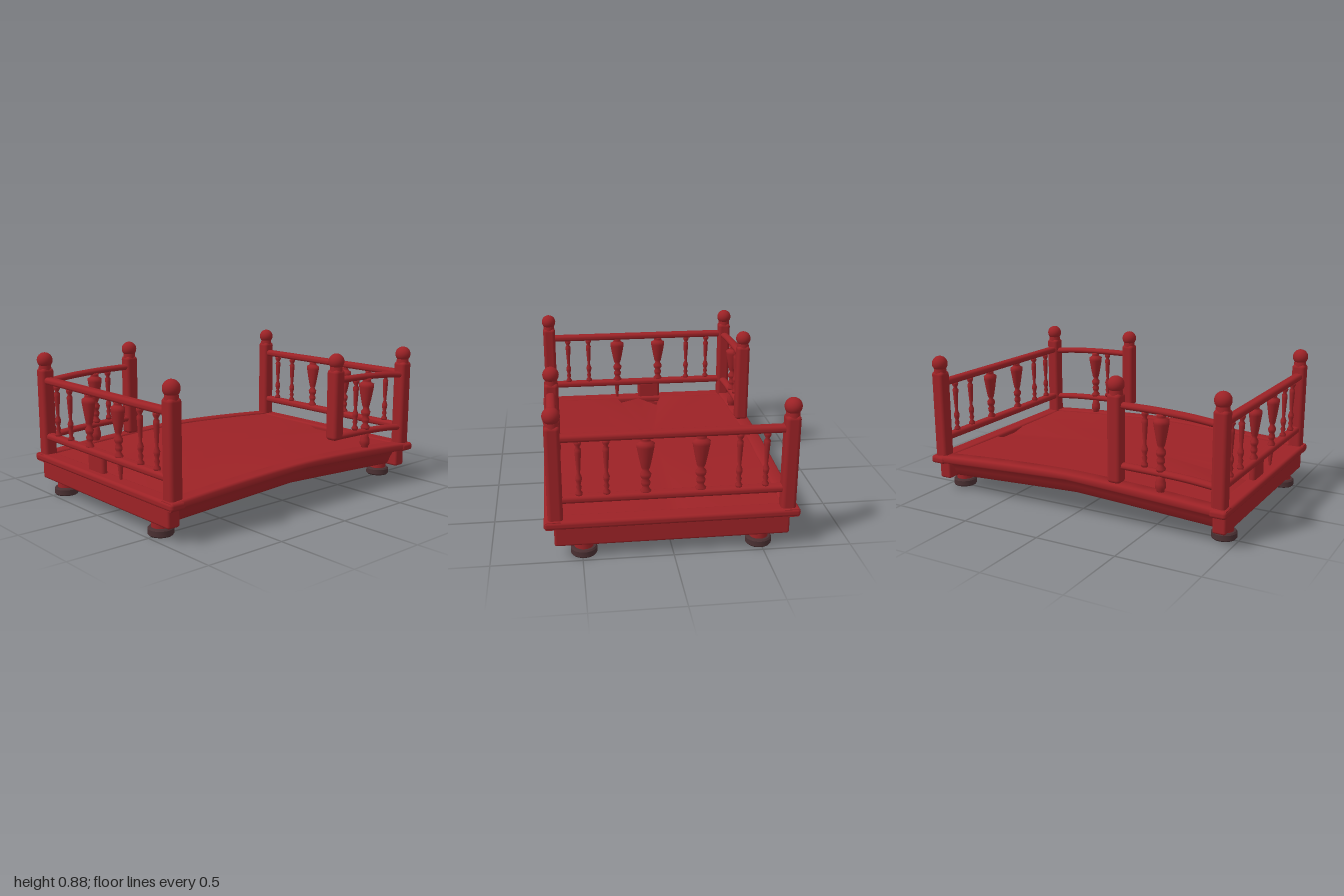
import * as THREE from 'three';
import { toCreasedNormals } from 'three/addons/utils/BufferGeometryUtils.js';
import { RoundedBoxGeometry } from 'three/addons/geometries/RoundedBoxGeometry.js';

// Rise of the arched platform along x: highest in the middle, zero at the ends
const arch = (x, power) => 0.048 * (1 - Math.pow(Math.min(1, Math.abs(x)), power));

export function createModel() {
  const red = new THREE.MeshStandardMaterial({ color: 0x9c2226, side: THREE.DoubleSide });
  red.name = 'red wood';
  const dark = new THREE.MeshStandardMaterial({ color: 0x4a3032 });
  dark.name = 'dark foot pads';
  const model = new THREE.Group();
  model.name = 'railedPlatform';

  function add(parent, name, geometry, material, x = 0, y = 0, z = 0) {
    const mesh = new THREE.Mesh(geometry, material);
    mesh.name = name;
    mesh.position.set(x, y, z);
    parent.add(mesh);
    return mesh;
  }

  // Beam along x from a [z, y] section: straight-sided rise underneath, softer curve on top
  function archedBeam(name, length, section, side) {
    const shape = new THREE.Shape(section.map(([z, y]) => new THREE.Vector2(-z, y)));
    const g = new THREE.ExtrudeGeometry(shape, { depth: length, steps: 24, bevelEnabled: false });
    g.translate(0, 0, -length / 2).rotateY(Math.PI / 2);
    const p = g.attributes.position;
    for (let i = 0; i < p.count; i++) {
      const y = p.getY(i);
      p.setY(i, y + arch(p.getX(i), y > 0.21 ? 1.6 : 1.05));
    }
    add(model, name, toCreasedNormals(g, 0.9), red).rotation.y = side > 0 ? 0 : Math.PI;
  }

  // Edge trim all round, coved skirts on the long sides and upright ones at the ends
  const trim = [[0.61, 0.194], [0.614, 0.19], [0.686, 0.19], [0.695, 0.194], [0.7, 0.204], [0.7, 0.221],
    [0.695, 0.231], [0.686, 0.235], [0.614, 0.235], [0.61, 0.231]];
  const cove = [[0.53, 0.08], [0.57, 0.08], [0.585, 0.095], [0.6, 0.13], [0.62, 0.165], [0.655, 0.195], [0.58, 0.2], [0.555, 0.14]];
  for (const s of [-1, 1]) {
    archedBeam('longTrim', 1.99, trim, s);
    archedBeam('longSkirt', 1.88, cove, s);
    add(model, 'endTrim', new RoundedBoxGeometry(0.1, 0.047, 1.41, 3, 0.018), red, s * 0.95, 0.2135, 0);
    add(model, 'endSkirt', new RoundedBoxGeometry(0.08, 0.12, 1.3, 3, 0.014), red, s * 0.94, 0.14, 0);
  }

  // Floor: a fan from the middle, sunk between the end balusters
  const border = [];
  const steps = 16;
  const sunkLeft = [[0.45, 0.228], [0.15, 0.226], [0.05, 0.205], [-0.08, 0.205], [-0.15, 0.226], [-0.45, 0.228]];
  const sunkRight = [[-0.45, 0.228], [-0.17, 0.232], [-0.14, 0.165], [0, 0.225], [0.13, 0.195], [0.16, 0.228], [0.45, 0.228]];
  for (const s of [1, -1]) {
    for (let i = 0; i <= steps; i++) {
      const x = s * (-0.93 + (1.86 * i) / steps);
      border.push([x, 0.226 + arch(x, 1.5), s * 0.66]);
    }
    for (const [z, y] of s > 0 ? sunkLeft : sunkRight) border.push([s * 0.93, y, z]);
  }
  const index = [];
  for (let i = 0; i < border.length; i++) index.push(0, i + 1, ((i + 1) % border.length) + 1);
  const floor = new THREE.BufferGeometry();
  floor.setAttribute('position', new THREE.Float32BufferAttribute([0, 0.276, 0, ...border.flat()], 3));
  floor.setIndex(index);
  floor.computeVertexNormals();
  add(model, 'floor', floor, red);

  // Feet
  const lathe = (points, sides) => new THREE.LatheGeometry(points.map((p) => new THREE.Vector2(...p)), sides);
  const pad = [[0, 0], [0.066, 0], [0.073, 0.008], [0.073, 0.038], [0.066, 0.047], [0, 0.047]];
  const padGeo = toCreasedNormals(lathe(pad, 24), 0.6);
  for (const sx of [-1, 1]) for (const sz of [-1, 1]) {
    const foot = new THREE.Group();
    foot.name = 'foot';
    foot.position.set(sx * 0.91, 0, sz * 0.49);
    model.add(foot);
    add(foot, 'footPad', padGeo, dark);
    add(foot, 'footNeck', new THREE.CylinderGeometry(0.053, 0.053, 0.05, 20), red, 0, 0.065, 0);
  }

  // Square post with a neck and a ball on top
  function post(name, x, z, bottom, top) {
    const g = new THREE.Group();
    g.name = name;
    g.position.set(x, 0, z);
    model.add(g);
    add(g, 'postShaft', new RoundedBoxGeometry(0.084, top - bottom, 0.084, 4, 0.022), red, 0, (top + bottom) / 2, 0);
    add(g, 'postNeck', new THREE.CylinderGeometry(0.036, 0.04, 0.04, 20), red, 0, top + 0.005, 0);
    add(g, 'postBall', new THREE.SphereGeometry(0.048, 24, 16), red, 0, top + 0.047, 0);
  }
  for (const sx of [-1, 1]) for (const sz of [-1, 1]) post('cornerPost', sx * 0.94, sz * 0.64, 0.2, 0.777);
  post('frontInnerPost', 0.305, 0.635, 0.355, 0.79);
  post('backInnerPost', -0.31, -0.645, 0.27, 0.79);

  // Turned balusters, as [radius, height]
  const thick = [[0, 0.36], [0.026, 0.365], [0.031, 0.38], [0.016, 0.4], [0.024, 0.415], [0.026, 0.43], [0.018, 0.445],
    [0.028, 0.46], [0.031, 0.478], [0.016, 0.498], [0.024, 0.515], [0.034, 0.56], [0.048, 0.635], [0.049, 0.655],
    [0.03, 0.665], [0.026, 0.675], [0.032, 0.69], [0, 0.7]];
  const thin = [[0, 0.36], [0.018, 0.37], [0.02, 0.385], [0.01, 0.4], [0.016, 0.42], [0.01, 0.435], [0.017, 0.46],
    [0.018, 0.475], [0.009, 0.5], [0.013, 0.55], [0.017, 0.62], [0.018, 0.638], [0.01, 0.65], [0.02, 0.67], [0.018, 0.685], [0, 0.7]];
  const lower = [[0, 0.25], [0.022, 0.255], [0.021, 0.27], [0.031, 0.285], [0.031, 0.31], [0.024, 0.33], [0.022, 0.36], [0, 0.37]];
  const thickGeo = lathe(thick, 16), thinGeo = lathe(thin, 16), lowerGeo = lathe(lower, 16);

  // Straight rails and balusters across the two ends
  for (const s of [-1, 1]) {
    for (const y of [0.7, 0.348]) {
      add(model, 'endRail', new RoundedBoxGeometry(0.06, 0.042, 1.24, 4, 0.018), red, s * 0.94, y, 0);
    }
    for (const z of [-0.15, 0.15]) {
      add(model, 'thickBaluster', thickGeo, red, s * 0.94, -0.005, z).scale.x = 0.75;
    }
    for (const z of [-0.508, -0.36, 0.36, 0.508]) add(model, 'thinBaluster', thinGeo, red, s * 0.94, -0.005, z);
  }

  // Supports under the right end rail
  add(model, 'railBlock', new RoundedBoxGeometry(0.04, 0.13, 0.16, 3, 0.019), red, -0.935, 0.28, -0.08);
  add(model, 'railPeg', new THREE.CylinderGeometry(0.018, 0.008, 0.1, 12), red, -0.935, 0.285, 0.155);

  // Curved side rails with their balusters: front left and back right
  for (const s of [1, -1]) {
    const z = s * 0.64;
    for (const [low, mid, high] of [[0.688, 0.718, 0.721], [0.342, 0.368, 0.372]]) {
      const curve = new THREE.CatmullRomCurve3([
        new THREE.Vector3(s * 0.94, low, 0), new THREE.Vector3(s * 0.76, (low + mid) / 2 + 0.004, 0),
        new THREE.Vector3(s * 0.55, mid, 0), new THREE.Vector3(s * 0.31, high, 0)]);
      const rail = add(model, 'sideRail', new THREE.TubeGeometry(curve, 20, 0.02, 12), red, 0, 0, z);
      rail.scale.z = 1.4;
    }
    add(model, 'thickBaluster', thickGeo, red, s * 0.587, 0.015, z).scale.x = 0.9;
    add(model, 'thinBaluster', thinGeo, red, s * 0.487, 0.02, z);
    add(model, 'lowerBaluster', lowerGeo, red, s * 0.587, 0, z);
  }
  return model;
}
